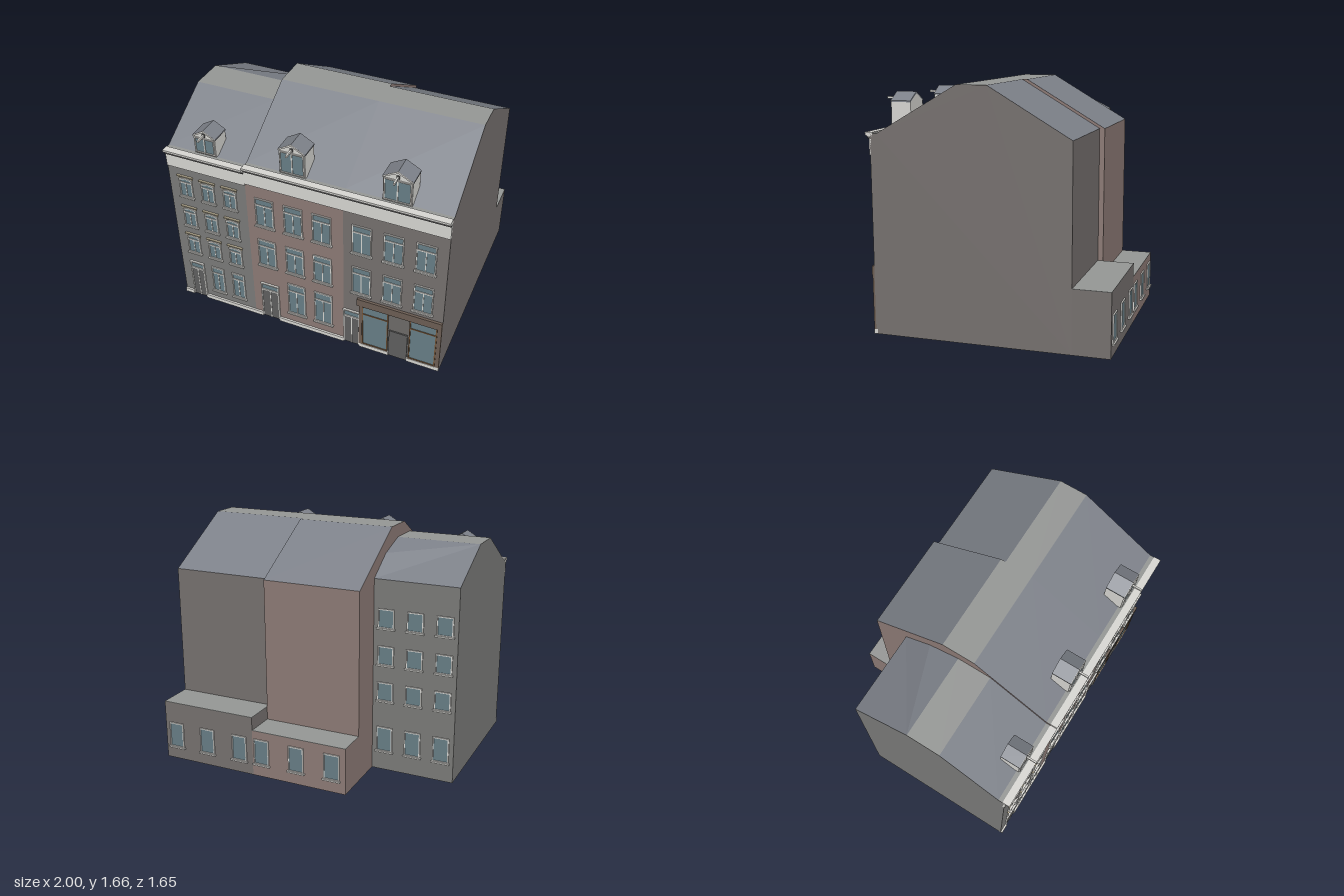
import * as THREE from 'three';

const CREAM = 0xd6d5d1, GLASS = 0x677d85, DARK = 0x5e5e5e, SLATE = 0x7c8088, FLAT = 0x949694;
const TAN = 0xb9ae94, TIMBER = 0x6b5d53, WOOD = 0x76583c, GREY = 0x7a7a78, BRICK = 0x8c7a75, STONE = 0x75706e;
const FRONT = 0.775;

const mats = {};
const mat = c => (mats[c] ??= new THREE.MeshStandardMaterial({ color: c, flatShading: true }));

function add(parent, name, geo, color) {
  const m = new THREE.Mesh(geo, mat(color));
  m.name = name;
  parent.add(m);
  return m;
}
function group(parent, name) {
  const g = new THREE.Group();
  g.name = name;
  parent.add(g);
  return g;
}
function box(parent, name, x0, x1, y0, y1, z0, z1, color) {
  const m = add(parent, name, new THREE.BoxGeometry(x1 - x0, y1 - y0, z1 - z0), color);
  m.position.set((x0 + x1) / 2, (y0 + y1) / 2, (z0 + z1) / 2);
  return m;
}
const poly = pts => new THREE.Shape(pts.map(p => new THREE.Vector2(p[0], p[1])));
const extrude = (shape, depth) => new THREE.ExtrudeGeometry(shape, { depth, bevelEnabled: false, curveSegments: 8 });

// Surface between two [z, y] profiles standing at x0 and x1
function loft(parent, name, x0, x1, left, right, color) {
  const v = [];
  for (let i = 0; i < left.length - 1; i++) {
    const a = [x0, left[i][1], left[i][0]], b = [x1, right[i][1], right[i][0]];
    const c = [x1, right[i + 1][1], right[i + 1][0]], d = [x0, left[i + 1][1], left[i + 1][0]];
    v.push(...a, ...b, ...c, ...a, ...c, ...d);
  }
  const geo = new THREE.BufferGeometry();
  geo.setAttribute('position', new THREE.Float32BufferAttribute(v, 3));
  geo.computeVertexNormals();
  add(parent, name, geo, color);
}

// House shell: walls, gables, front slope, flat ridge and back slope
function shell(parent, x0, x1, h, color) {
  const eave = [0.73, h.eave], r0 = [h.ridge0, h.top], r1 = [h.ridge1, h.top], back = [h.back, h.backEave];
  const strip = (name, pts, c) => loft(parent, name, x0, x1, pts, pts, c);
  strip('frontWall', [[FRONT, 0], [FRONT, h.eave]], color);
  strip('gutterFloor', [[FRONT, h.eave], eave], FLAT);
  strip('frontRoof', [eave, r0], SLATE);
  strip('flatRoof', [r0, r1], FLAT);
  if (h.kink) loft(parent, 'backRoof', x0, x1, [r1, r1, back], [r1, h.kink, back], SLATE);
  else strip('backRoof', [r1, back], SLATE);
  strip('backWall', [back, [h.back, 0], [FRONT, 0]], color);
  const outline = [[FRONT, 0], [FRONT, h.eave], eave, r0, r1, back, [h.back, 0]];
  const left = new THREE.ShapeGeometry(poly(outline)).rotateY(-Math.PI / 2).translate(x0, 0, 0);
  const right = new THREE.ShapeGeometry(poly(outline.map(p => [-p[0], p[1]]))).rotateY(Math.PI / 2).translate(x1, 0, 0);
  add(parent, 'gable', left, color);
  add(parent, 'gable', right, color);
}

// Rectangle whose top edge may bow upwards
function opening(C, w, y0, y1, rise) {
  const s = new C();
  s.moveTo(-w / 2, y0);
  s.lineTo(w / 2, y0);
  s.lineTo(w / 2, y1 - rise);
  s.quadraticCurveTo(0, y1 + rise, -w / 2, y1 - rise);
  s.lineTo(-w / 2, y0);
  return s;
}

// Window on a wall facing +z; the group can be turned for back walls
function addWindow(parent, x, y0, y1, w, o = {}) {
  const { rise = 0, bars = true, sill = true, z = FRONT, lintel = false, t = 0.008 } = o;
  const g = group(parent, 'window');
  g.position.set(x, 0, z);
  const f = opening(THREE.Shape, w, y0, y1, rise);
  f.holes.push(opening(THREE.Path, w - 2 * t, y0 + t, y1 - t, rise));
  add(g, 'windowFrame', extrude(f, 0.009), CREAM);
  add(g, 'glass', extrude(opening(THREE.Shape, w - t, y0, y1 - t / 2, rise), 0.003), GLASS);
  if (bars) {
    const yt = y0 + (y1 - y0) * 0.76;
    box(g, 'transom', -w / 2, w / 2, yt - 0.005, yt + 0.005, 0, 0.008, CREAM);
    box(g, 'mullion', -0.003, 0.003, y0, yt, 0, 0.007, CREAM);
  }
  if (sill) box(g, 'sill', -w / 2 - 0.008, w / 2 + 0.008, y0 - 0.008, y0 + 0.002, 0, 0.018, CREAM);
  if (lintel) {
    box(g, 'lintel', -w / 2 - 0.01, w / 2 + 0.01, y1 + 0.012, y1 + 0.021, 0, 0.014, TAN);
    for (const s of [-1, 1]) box(g, 'lintelEnd', s * w / 2 - 0.006, s * w / 2 + 0.006, y1 - 0.004, y1 + 0.012, 0, 0.006, TAN);
  }
  return g;
}

function addDoor(parent, x, w, top) {
  const g = group(parent, 'door');
  g.position.set(x, 0, FRONT);
  const split = top - 0.056;
  box(g, 'doorLeaf', -w / 2, w / 2, 0.005, split, 0, 0.006, DARK);
  box(g, 'transomGlass', -w / 2, w / 2, split, top, 0, 0.004, GLASS);
  for (const s of [-1, 1]) box(g, 'jamb', s * w / 2 - 0.004, s * w / 2 + 0.004, 0.005, top, 0, 0.01, CREAM);
  box(g, 'doorSeam', -0.003, 0.003, 0.005, split, 0, 0.008, CREAM);
  box(g, 'transomBar', -w / 2, w / 2, split - 0.004, split + 0.006, 0, 0.012, CREAM);
  box(g, 'doorHead', -w / 2 - 0.006, w / 2 + 0.006, top - 0.006, top + 0.004, 0, 0.014, CREAM);
}

// Frieze board, dark shadow line and projecting gutter
function addCornice(parent, x0, x1, y0, eave) {
  const g = group(parent, 'cornice');
  box(g, 'frieze', x0, x1, y0, eave - 0.04, FRONT - 0.01, FRONT + 0.007, CREAM);
  box(g, 'shadowLine', x0, x1, eave - 0.04, eave - 0.026, FRONT - 0.01, FRONT + 0.016, 0x4c4c4c);
  const p = [[0.76, -0.026], [0.793, -0.026], [0.808, -0.016], [0.811, 0.002], [0.76, 0.002]];
  const geo = extrude(poly(p.map(q => [-q[0], eave + q[1]])), x1 - x0).rotateY(Math.PI / 2).translate(x0, 0, 0);
  add(g, 'gutter', geo, CREAM);
}

// Gabled dormer with hoisting beam
function addDormer(parent, x, w, y0, eave, top) {
  const g = group(parent, 'dormer');
  g.position.x = x;
  const h = w / 2, k = 0.014;
  const body = poly([[-h + 0.004, y0], [h - 0.004, y0], [h - 0.004, eave], [0, top - k], [-h + 0.004, eave]]);
  add(g, 'dormerBody', extrude(body, 0.135).translate(0, 0, 0.61), CREAM);
  const roof = poly([[-h, eave - 0.004], [0, top - k], [h, eave - 0.004], [h, eave + 0.006], [0, top], [-h, eave + 0.006]]);
  add(g, 'dormerRoof', extrude(roof, 0.138).translate(0, 0, 0.61), SLATE);
  const trim = add(g, 'dormerTrim', extrude(roof, 0.004).translate(0, 0, 0.748), CREAM);
  trim.scale.x = 0.99;
  addWindow(g, 0, y0 + 0.01, eave - 0.006, w - 0.02, { z: 0.745, bars: false, sill: false });
  box(g, 'dormerMullion', -0.004, 0.004, y0 + 0.01, eave - 0.006, 0.745, 0.753, CREAM);
  box(g, 'beamSocket', -0.01, 0.01, eave + 0.006, eave + 0.03, 0.744, 0.752, DARK);
  box(g, 'hoistBeam', -0.006, 0.006, eave + 0.01, eave + 0.025, 0.74, 0.822, CREAM);
}

// Row of plain windows on a wall facing -z
function backRow(parent, xs, y0, y1, z) {
  for (const x of xs) addWindow(parent, x, y0, y1, 0.115, { bars: false, z }).rotation.y = Math.PI;
}

export function createModel() {
  const model = new THREE.Group();
  model.name = 'terrace';
  const narrow = group(model, 'narrowHouse'), brick = group(model, 'brickHouse'), shop = group(model, 'shopHouse');

  // Shells and rear extensions
  shell(narrow, -1, -0.41, { eave: 1.32, top: 1.57, ridge0: 0.3, ridge1: 0.06, back: -0.36, backEave: 1.37, kink: [-0.16, 1.5] }, GREY);
  shell(brick, -0.41, 0.29, { eave: 1.34, top: 1.66, ridge0: 0.18, ridge1: -0.055, back: -0.6, backEave: 1.34 }, BRICK);
  shell(shop, 0.29, 1, { eave: 1.34, top: 1.66, ridge0: 0.18, ridge1: -0.02, back: -0.565, backEave: 1.34 }, STONE);
  box(brick, 'extension', -0.41, 0.29, 0, 0.33, -0.815, -0.6, BRICK);
  box(brick, 'extensionRoof', -0.41, 0.29, 0.33, 0.333, -0.815, -0.6, FLAT);
  box(shop, 'extension', 0.29, 1, 0, 0.425, -0.815, -0.565, STONE);
  box(shop, 'extensionRoof', 0.29, 1, 0.425, 0.428, -0.815, -0.565, FLAT);

  // Cornices and dormers
  addCornice(narrow, -1, -0.41, 1.185, 1.325);
  addCornice(brick, -0.41, 0.29, 1.2, 1.345);
  addCornice(shop, 0.29, 1, 1.2, 1.345);
  addDormer(narrow, -0.703, 0.166, 1.33, 1.465, 1.52);
  addDormer(brick, -0.07, 0.19, 1.345, 1.525, 1.587);
  addDormer(shop, 0.637, 0.2, 1.345, 1.525, 1.587);

  // Front windows
  for (const x of [-0.873, -0.703, -0.535])
    for (const y of [0.945, 0.68, 0.428]) addWindow(narrow, x, y, y + 0.16, 0.1, { rise: 0.01, lintel: true });
  for (const x of [-0.703, -0.535]) addWindow(narrow, x, 0.1, 0.335, 0.1);
  for (const y of [0.87, 0.51]) {
    for (const x of [-0.278, -0.068, 0.138]) addWindow(brick, x, y, y + 0.235, 0.135);
    for (const x of [0.42, 0.638, 0.855]) addWindow(shop, x, y, y + 0.235, 0.135);
  }
  for (const x of [-0.068, 0.138]) addWindow(brick, x, 0.115, 0.402, 0.135);

  // Doors and plinth
  addDoor(narrow, -0.873, 0.104, 0.33);
  addDoor(brick, -0.278, 0.13, 0.33);
  addDoor(shop, 0.352, 0.114, 0.322);
  for (const [a, b] of [[-1, -0.93], [-0.818, -0.345], [-0.21, 0.293], [0.412, 0.63], [0.765, 1]])
    box(model, 'plinth', a, b, 0, 0.032, FRONT - 0.01, FRONT + 0.014, CREAM);

  // Shop front
  const front = group(shop, 'shopFront');
  box(front, 'fascia', 0.395, 1, 0.405, 0.465, FRONT, FRONT + 0.018, TIMBER);
  for (const [a, b] of [[0.41, 0.432], [0.97, 1]]) box(front, 'pilaster', a, b, 0.032, 0.405, FRONT, FRONT + 0.014, TIMBER);
  box(front, 'entrance', 0.625, 0.775, 0.005, 0.405, FRONT, FRONT + 0.003, 0x6c6a68);
  box(front, 'entranceDoor', 0.632, 0.765, 0.005, 0.25, FRONT, FRONT + 0.012, DARK);
  for (const [a, b] of [[0.43, 0.622], [0.775, 0.968]]) {
    box(front, 'displayGlass', a, b, 0.032, 0.405, FRONT, FRONT + 0.005, GLASS);
    for (const x of [a, b - 0.008]) box(front, 'displayPost', x, x + 0.008, 0.032, 0.405, FRONT, FRONT + 0.011, WOOD);
    for (const y of [0.032, 0.325, 0.397]) box(front, 'displayRail', a, b, y, y + 0.008, FRONT, FRONT + 0.01, WOOD);
  }

  // Back windows
  for (const [a, b] of [[0.14, 0.32], [0.515, 0.65], [0.775, 0.91], [1.035, 1.17]])
    backRow(narrow, [-0.91, -0.705, -0.5], a, b, -0.36);
  backRow(brick, [0.22, -0.045, -0.31], 0.09, 0.275, -0.815);
  backRow(shop, [0.91, 0.655, 0.395], 0.09, 0.275, -0.815);
  return model;
}
